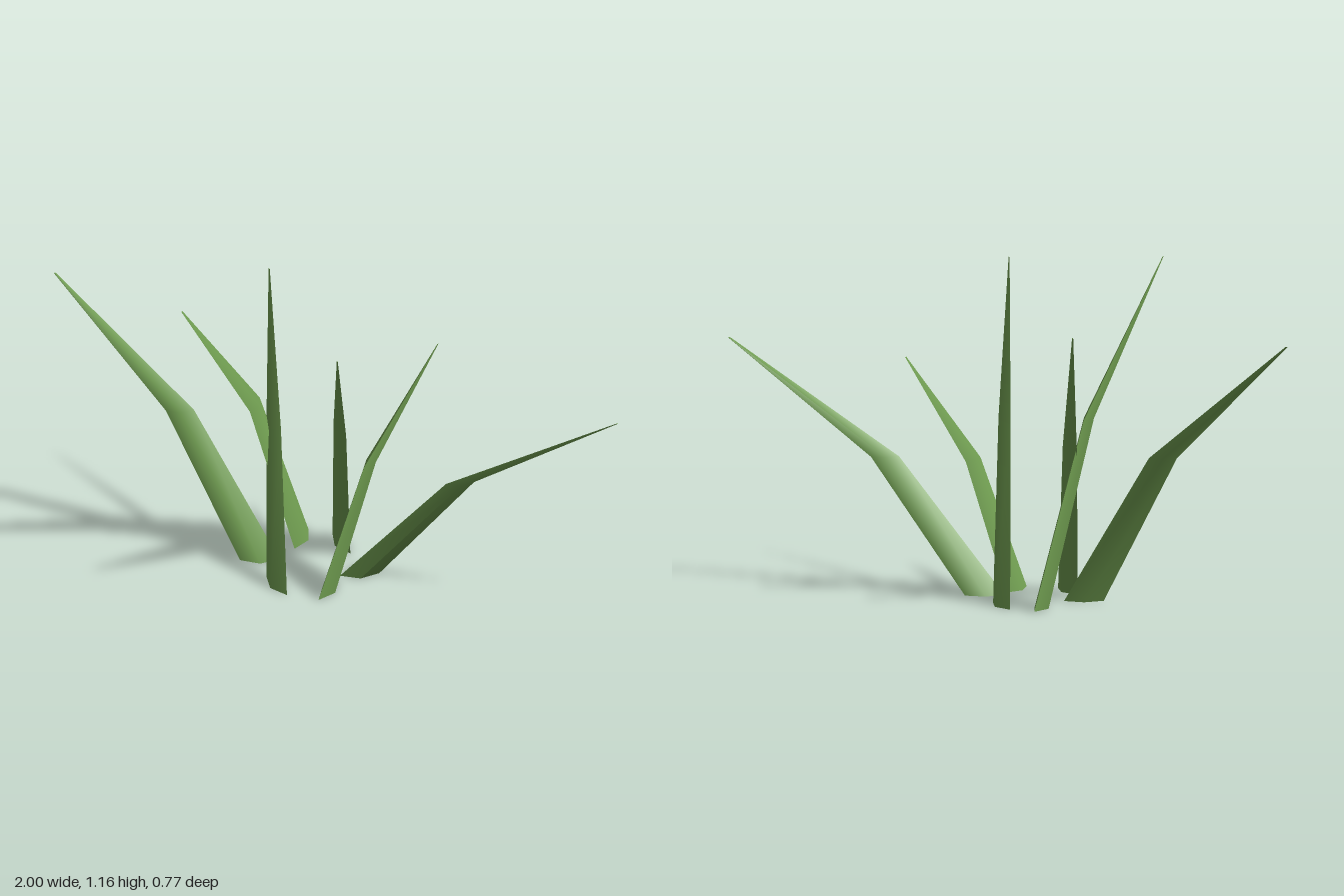
import * as THREE from 'three';
import { toCreasedNormals } from 'three/addons/utils/BufferGeometryUtils.js';

const HALF_WIDTH = 0.068, HALF_THICKNESS = 0.026;
const TWIST = THREE.MathUtils.degToRad(-28); // blade width against its bend direction

// Height, lean and section scale at the base, the bend and the tip
const LEVELS = [
  { rise: 0, lean: 0, scale: 1 },
  { rise: 0.55, lean: 0.39, scale: 0.71 },
  { rise: 1, lean: 1, scale: 0.06 },
];

// Each blade: base centre [x, z] and tip [x, y, z]
const BLADES = [
  { base: [-0.265, -0.06], tip: [-0.997, 0.955, -0.315] },
  { base: [-0.137, -0.206], tip: [-0.506, 1.158, 0.198] },
  { base: [-0.19, 0.1], tip: [-0.266, 0.98, -0.38] },
  { base: [0.003, -0.188], tip: [0.048, 1.107, 0.379] },
  { base: [-0.01, 0.112], tip: [0.338, 0.856, -0.156] },
  { base: [0.085, -0.002], tip: [0.997, 0.83, 0.242] },
];

// A diamond-section blade that leans outward, bends once and tapers to a point
function bladeGeometry({ base, tip }) {
  const geometry = new THREE.CylinderGeometry(1, 1, 2, 4, 2);
  const p = geometry.attributes.position;
  const dx = tip[0] - base[0], dz = tip[2] - base[1];
  const angle = Math.atan2(dz, dx) + TWIST;
  const c = Math.cos(angle), s = Math.sin(angle);
  for (let i = 0; i < p.count; i++) {
    const { rise, lean, scale } = LEVELS[Math.round(p.getY(i)) + 1];
    const thick = p.getX(i) * HALF_THICKNESS * scale;
    const wide = p.getZ(i) * HALF_WIDTH * scale;
    p.setXYZ(
      i,
      base[0] + dx * lean + wide * c + thick * s,
      tip[1] * rise,
      base[1] + dz * lean + wide * s - thick * c,
    );
  }
  return toCreasedNormals(geometry, Math.PI / 3);
}

export function createModel() {
  const group = new THREE.Group();
  group.name = 'grassTuft';
  const green = new THREE.MeshStandardMaterial({ color: 0x72a052 });
  BLADES.forEach((blade, i) => {
    const mesh = new THREE.Mesh(bladeGeometry(blade), green);
    mesh.name = `grassBlade${i + 1}`;
    group.add(mesh);
  });
  return group;
}
